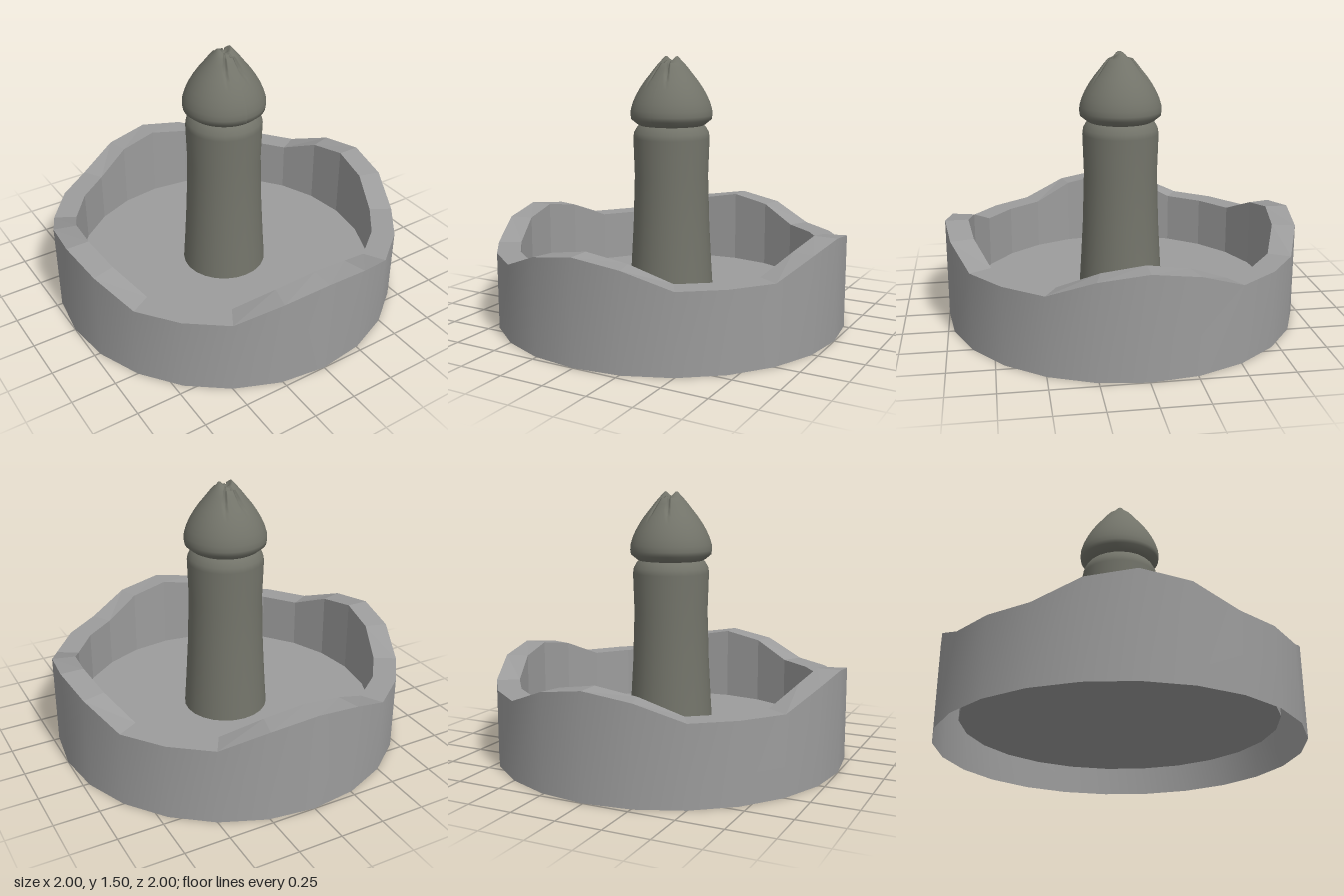
import * as THREE from 'three';

const SIDES = 24;
const FLOOR_Y = 0.13;
const OUTER_R = 1;
const INNER_R = 0.87;

// Rim height at each 15 degree step: four crests with flat dips between
const RIM = [0.565, 0.525, 0.43, 0.43, 0.43, 0.525];
const rimHeight = (i) => RIM[i % RIM.length];

// Closed loop of points around the y axis, starting at the front
function loop(radius, height) {
  return Array.from({ length: SIDES }, (_, i) => {
    const a = (i / SIDES) * Math.PI * 2;
    return [radius * Math.sin(a), height(i), radius * Math.cos(a)];
  });
}

// Band of quads joining two loops
function band(a, b, smooth) {
  let geo = new THREE.BufferGeometry();
  geo.setAttribute('position', new THREE.Float32BufferAttribute([...a, ...b].flat(), 3));
  const index = [];
  for (let i = 0; i < SIDES; i++) {
    const j = (i + 1) % SIDES;
    index.push(i, j, SIDES + j, i, SIDES + j, SIDES + i);
  }
  geo.setIndex(index);
  if (!smooth) geo = geo.toNonIndexed();
  geo.computeVertexNormals();
  return geo;
}

const lathe = (points, sides) =>
  new THREE.LatheGeometry(points.map(([r, y]) => new THREE.Vector2(r, y)), sides);

// Domed cap with a central dimple and two pairs of narrow slits
function capGeometry() {
  const profile = [
    [0.18, 1.11], [0.195, 1.118], [0.228, 1.145], [0.232, 1.17], [0.23, 1.2], [0.218, 1.24],
    [0.2, 1.28], [0.177, 1.32], [0.15, 1.36], [0.118, 1.4], [0.095, 1.43], [0.07, 1.46],
    [0.052, 1.482], [0.038, 1.497], [0.03, 1.495], [0.02, 1.47], [0, 1.46],
  ];
  const geo = lathe(profile, 72);
  const p = geo.attributes.position;
  const slits = [-30, 15, 150, 195].map(THREE.MathUtils.degToRad);
  for (let i = 0; i < p.count; i++) {
    const x = p.getX(i), z = p.getZ(i), r = Math.hypot(x, z);
    if (r < 0.025 || r > 0.14) continue;
    const a = Math.atan2(x, z);
    let drop = 0;
    for (const s of slits) {
      const off = Math.abs(Math.atan2(Math.sin(a - s), Math.cos(a - s)));
      if (off < 0.06) drop = 0.035 * Math.min(1, (0.14 - r) / 0.03);
    }
    // Front and back of the dimple's lip sit lower than its sides
    if (r < 0.06) drop = Math.max(drop, 0.03 * Math.pow(Math.cos(a), 2));
    p.setY(i, p.getY(i) - drop);
  }
  geo.computeVertexNormals();
  return geo;
}

export function createModel() {
  const stone = new THREE.MeshStandardMaterial({ color: 0x9c9c9c, side: THREE.DoubleSide });
  stone.name = 'grey stone';
  const darkStone = new THREE.MeshStandardMaterial({ color: 0x73746a, side: THREE.DoubleSide });
  darkStone.name = 'dark olive stone';

  const model = new THREE.Group();
  model.name = 'fountain';
  const add = (name, geo, material) => {
    const mesh = new THREE.Mesh(geo, material);
    mesh.name = name;
    model.add(mesh);
    return mesh;
  };

  // Basin: open outer wall, wavy rim, inner wall and raised floor
  const outerTop = loop(OUTER_R, rimHeight);
  const innerTop = loop(INNER_R, rimHeight);
  add('basinOuterWall', band(loop(OUTER_R, () => 0), outerTop, true), stone);
  add('basinRim', band(outerTop, innerTop, false), stone);
  add('basinInnerWall', band(innerTop, loop(INNER_R, () => FLOOR_Y), false), stone);
  const floor = add('basinFloor', new THREE.CircleGeometry(INNER_R, SIDES), stone);
  floor.rotation.x = -Math.PI / 2;
  floor.rotation.z = Math.PI / 2;
  floor.position.y = FLOOR_Y;

  // Central column with a slight waist and a rounded shoulder
  const column = lathe([
    [0.243, FLOOR_Y], [0.232, 0.3], [0.219, 0.53], [0.21, 0.82], [0.217, 1.04],
    [0.212, 1.07], [0.195, 1.1], [0.18, 1.115],
  ], SIDES);
  add('column', column, darkStone);

  // Spout cap
  add('spoutCap', capGeometry(), darkStone);

  return model;
}
